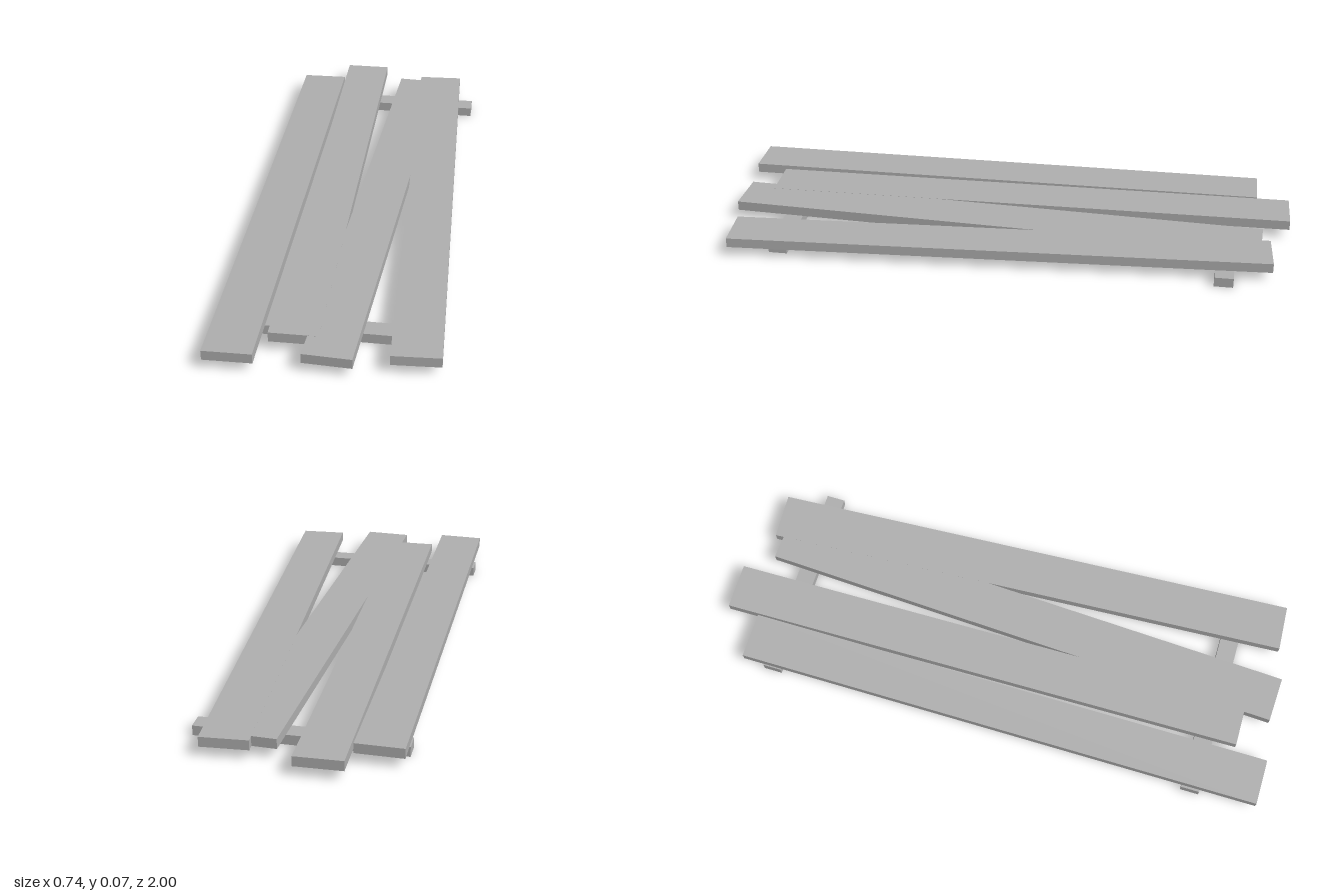
import * as THREE from 'three';

export function createModel() {
  const group = new THREE.Group();
  const wood = new THREE.MeshStandardMaterial({ color: 0xb0b0b0 });
  wood.name = 'plain grey wood';

  const thickness = 0.034;
  const plankWidth = 0.16;

  // A plank runs between the centres of its back and front ends.
  function addPlank(name, [backX, backZ], [frontX, frontZ], y, roll = 0) {
    const dx = frontX - backX, dz = frontZ - backZ;
    const plank = new THREE.Mesh(
      new THREE.BoxGeometry(plankWidth, thickness, Math.hypot(dx, dz)), wood);
    plank.name = name;
    plank.position.set((backX + frontX) / 2, y, (backZ + frontZ) / 2);
    plank.rotation.set(0, Math.atan2(dx, dz), roll);
    group.add(plank);
  }

  // Four loose planks, askew and partly overlapping
  addPlank('rightPlank', [-0.289, -0.885], [-0.285, 0.998], 0.051, 0.015);
  addPlank('innerRightPlank', [-0.125, -1.0], [-0.1, 0.88], 0.0512);
  addPlank('innerLeftPlank', [0.105, -0.902], [0.02, 0.976], 0.0508);
  addPlank('leftPlank', [0.185, -0.936], [0.29, 0.94], 0.051);

  // Two cross battens underneath
  for (const [name, z] of [['frontBatten', 0.768], ['backBatten', -0.778]]) {
    const batten = new THREE.Mesh(new THREE.BoxGeometry(0.698, thickness, 0.065), wood);
    batten.name = name;
    batten.position.set(-0.024, thickness / 2, z);
    group.add(batten);
  }

  return group;
}
